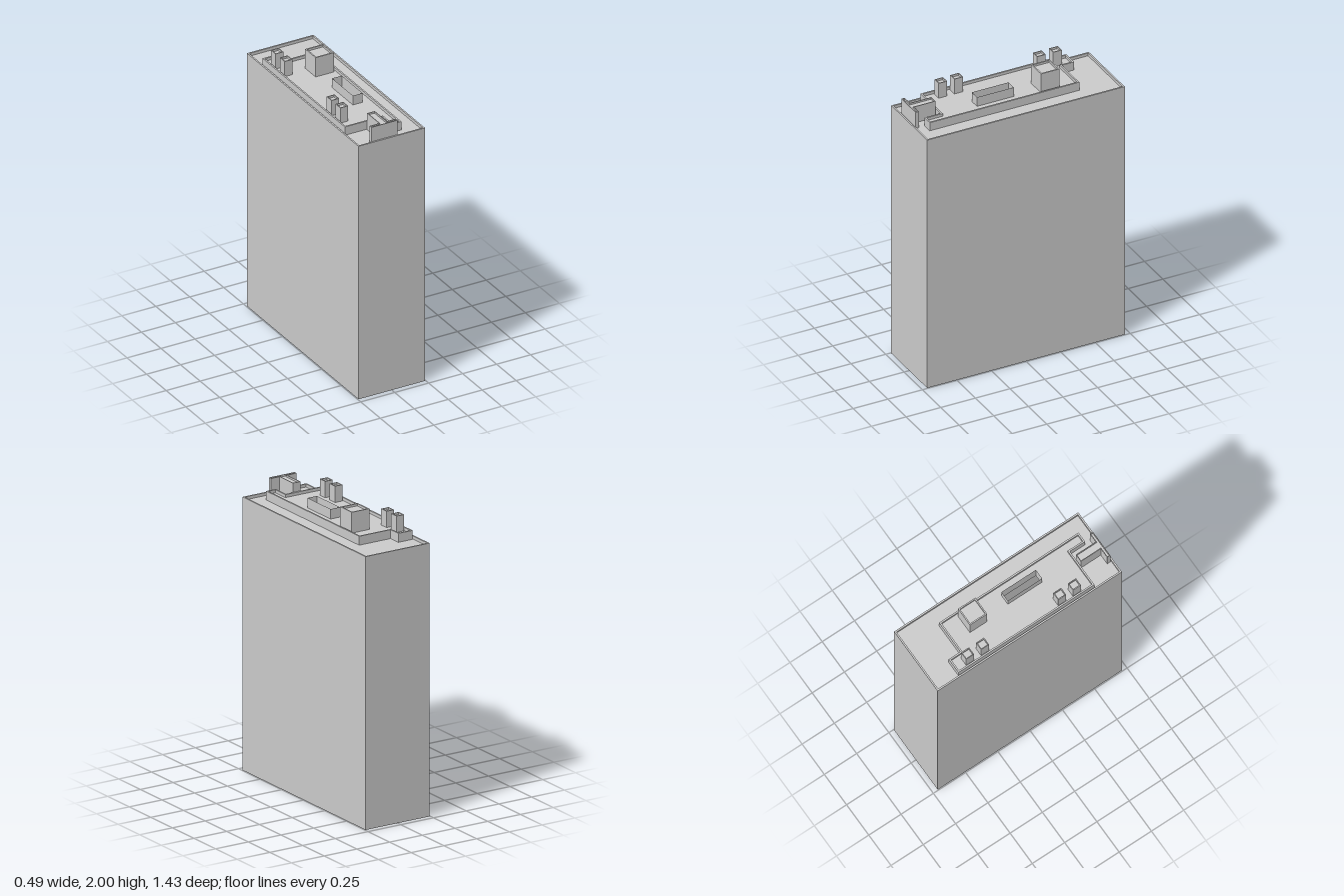
import * as THREE from 'three';
import { mergeGeometries } from 'three/addons/utils/BufferGeometryUtils.js';

const material = new THREE.MeshStandardMaterial({ color: 0xcccccc, side: THREE.DoubleSide });

// Plan outlines are lists of [x, z], always running the same way round
const rect = (x0, x1, z0, z1) => [[x0, z0], [x1, z0], [x1, z1], [x0, z1]];

// Moves every edge of a right-angled outline inward by d
function inset(outline, d) {
  const n = outline.length;
  const normal = (a, b) => [-Math.sign(b[1] - a[1]), Math.sign(b[0] - a[0])];
  return outline.map((p, i) => {
    const u = normal(outline[(i + n - 1) % n], p);
    const v = normal(p, outline[(i + 1) % n]);
    return [p[0] + d * (u[0] + v[0]), p[1] + d * (u[1] + v[1])];
  });
}

// Vertical faces along an outline
function walls(outline, y0, y1) {
  const pos = [], uv = [];
  outline.forEach(([ax, az], i) => {
    const [bx, bz] = outline[(i + 1) % outline.length];
    pos.push(ax, y0, az, ax, y1, az, bx, y1, bz, ax, y0, az, bx, y1, bz, bx, y0, bz);
    uv.push(0, 0, 0, 1, 1, 1, 0, 0, 1, 1, 1, 0);
  });
  const g = new THREE.BufferGeometry();
  g.setAttribute('position', new THREE.Float32BufferAttribute(pos, 3));
  g.setAttribute('uv', new THREE.Float32BufferAttribute(uv, 2));
  g.computeVertexNormals();
  return g;
}

// Horizontal face filling an outline, with an optional hole
function deck(outline, y, hole) {
  const points = (o) => o.map(([x, z]) => new THREE.Vector2(x, -z));
  const shape = new THREE.Shape(points(outline));
  if (hole) shape.holes.push(new THREE.Path(points(hole)));
  return new THREE.ShapeGeometry(shape).rotateX(-Math.PI / 2).translate(0, y, 0).toNonIndexed();
}

// Open-bottomed block whose roof is sunk behind a thin parapet
function block(name, outline, y0, y1, rim, depth, hole) {
  const inner = inset(outline, rim);
  const geometry = mergeGeometries([
    walls(outline, y0, y1),
    deck(outline, y1, inner),
    walls([...inner].reverse(), y1 - depth, y1),
    deck(inner, y1 - depth, hole),
  ]);
  const mesh = new THREE.Mesh(geometry, material);
  mesh.name = name;
  return mesh;
}

export function createModel() {
  const model = new THREE.Group();
  model.name = 'building';
  const roofY = 1.82, platformY = 1.86;
  const shaft = rect(-0.02, 0.051, -0.015, 0.251);

  // Main tower
  model.add(block('tower', rect(-0.245, 0.245, -0.713, 0.713), 0, 1.84, 0.011, 0.02, shaft));

  // Stepped platform on the roof
  const platform = [
    [-0.229, -0.541], [-0.119, -0.541], [-0.119, -0.451], [0.12, -0.451],
    [0.12, 0.628], [0.046, 0.628], [0.046, 0.511], [-0.229, 0.511],
  ];
  model.add(block('platform', platform, roofY, 1.88, 0.011, 0.02, shaft));

  // Open shaft through the roof
  const shaftWalls = new THREE.Mesh(walls(shaft, roofY, 1.927), material);
  shaftWalls.name = 'openShaft';
  model.add(shaftWalls);

  // Large rooftop housing
  model.add(block('rooftopHousing', rect(-0.041, 0.093, -0.323, -0.189), platformY, 2, 0.009, 0.015));

  // Two pairs of chimneys
  for (const z of [-0.438, -0.322, 0.275, 0.389]) {
    model.add(block('chimney', rect(-0.21, -0.153, z - 0.031, z + 0.031), platformY, 1.97, 0.006, 0.015));
  }

  // T-shaped block near the front edge
  const tee = [
    [-0.069, 0.517], [-0.012, 0.517], [-0.012, 0.671], [0.053, 0.671],
    [0.053, 0.695], [-0.141, 0.695], [-0.141, 0.671], [-0.069, 0.671],
  ];
  model.add(block('frontParapetBlock', tee, roofY, 1.94, 0.005, 0.012));

  return model;
}
